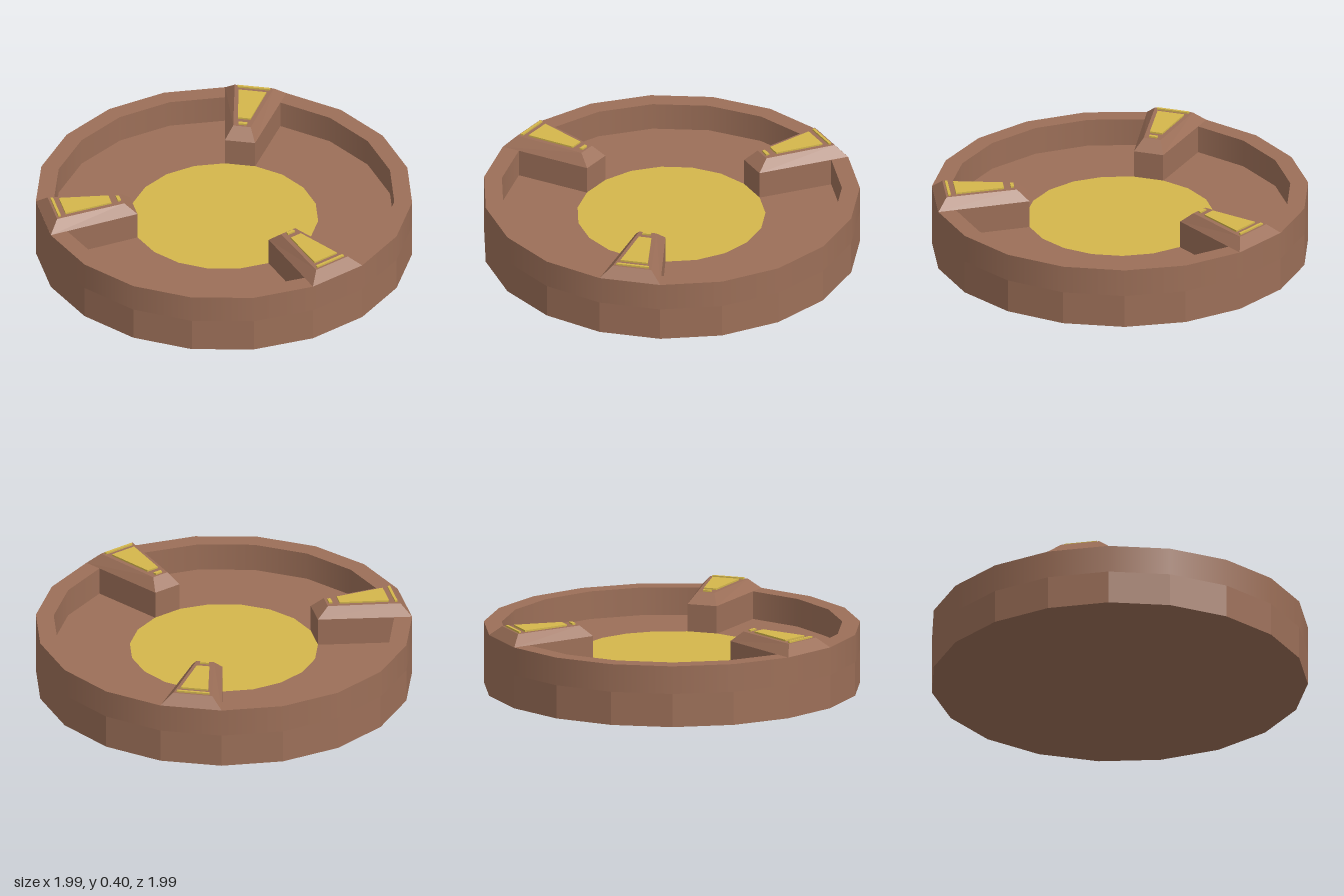
import * as THREE from 'three';

const SIDES = 19, FLOOR = 0.18, RIM = 0.33, TOP = 0.386;
const brown = new THREE.MeshStandardMaterial({ name: 'brown', color: 0x9c6f58 });
const gold = new THREE.MeshStandardMaterial({ name: 'gold', color: 0xd4b74c });

function add(parent, name, geometry, material) {
  const mesh = new THREE.Mesh(geometry, material);
  mesh.name = name;
  parent.add(mesh);
  return mesh;
}

// Smooth band swept round y between two [radius, height] points
function band(from, to) {
  const points = [new THREE.Vector2(...from), new THREE.Vector2(...to)];
  return new THREE.LatheGeometry(points, SIDES, Math.PI / 2);
}

// Flat-faced solid between two trapezoids: [inner x, inner half width, outer x, outer half width]
function trapezoidSolid(y0, low, y1, high) {
  const ring = ([xi, wi, xo, wo], y) => [[xi, y, wi], [xo, y, wo], [xo, y, -wo], [xi, y, -wi]];
  const a = ring(low, y0), b = ring(high, y1), verts = [];
  const quad = (p, q, r, s) => verts.push(...p, ...q, ...r, ...p, ...r, ...s);
  for (let i = 0; i < 4; i++) {
    const j = (i + 1) % 4;
    quad(a[i], a[j], b[j], b[i]);
  }
  quad(...b);
  quad(...a.slice().reverse());
  const geometry = new THREE.BufferGeometry();
  geometry.setAttribute('position', new THREE.Float32BufferAttribute(verts, 3));
  geometry.computeVertexNormals();
  return geometry;
}

// Radial block with a bevelled cap and raised inlays, pointing along +x
function createArm() {
  const arm = new THREE.Group();
  const foot = [0.493, 0.081, 0.986, 0.1645];
  const cap = [0.556, 0.047, 0.937, 0.105];
  add(arm, 'armBlock', trapezoidSolid(FLOOR, foot, RIM, foot), brown);
  add(arm, 'armBevel', trapezoidSolid(RIM, foot, TOP, cap), brown);
  const inlays = {
    armPanel: [0.623, 0.034, 0.883, 0.074],
    outerBar: [0.912, 0.086, 0.926, 0.089],
    innerBar: [0.568, 0.021, 0.586, 0.024],
  };
  for (const [name, shape] of Object.entries(inlays)) {
    add(arm, name, trapezoidSolid(TOP, shape, TOP + 0.009, shape), gold);
  }
  return arm;
}

export function createModel() {
  const model = new THREE.Group();
  model.name = 'roundPedestal';

  // Faceted base slab; its top is the floor of the dish
  const slab = new THREE.CylinderGeometry(1, 1, FLOOR, SIDES, 1, false, Math.PI / 2).toNonIndexed();
  slab.computeVertexNormals();
  slab.translate(0, FLOOR / 2, 0);
  add(model, 'baseSlab', slab, brown);

  // Raised rim
  add(model, 'rimOuterWall', band([1, FLOOR], [1, RIM]), brown);
  add(model, 'rimTop', band([1, RIM], [0.905, RIM]), brown);
  add(model, 'rimInnerWall', band([0.905, RIM], [0.905, FLOOR]), brown);

  // Gold disc set in the floor
  const disc = new THREE.CircleGeometry(0.5, SIDES).rotateX(-Math.PI / 2);
  add(model, 'centreDisc', disc, gold).position.y = FLOOR + 0.002;

  // Three arms, each centred on one side of the rim
  [3.5, 9.5, 15.5].forEach((side, i) => {
    const arm = createArm();
    arm.name = `arm${i + 1}`;
    arm.rotation.y = side * 2 * Math.PI / SIDES;
    model.add(arm);
  });

  // The odd number of sides leaves the outline slightly off centre
  model.children.forEach((part) => { part.position.x = -0.007; });
  return model;
}
